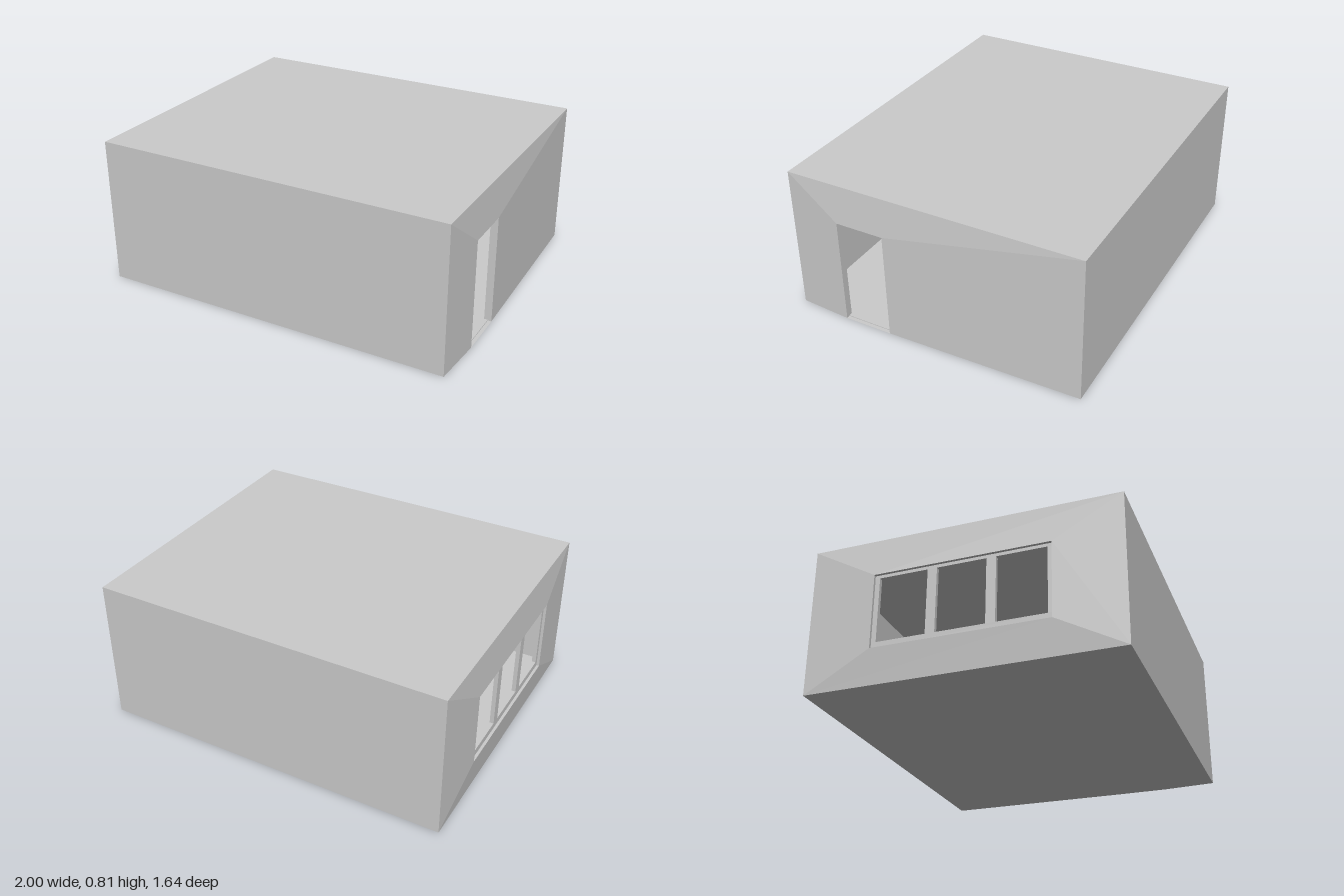
import * as THREE from 'three';

const W = 0.98, D = 0.82, H = 0.807;   // half width, half depth, height
const T = 0.03;                        // wall thickness
const BULGE = 1.0, INNER = 0.96;       // x of the opening rim and of the inner face

const mat = new THREE.MeshStandardMaterial({ color: 0xcccccc, flatShading: true });

function box(parent, name, x0, x1, y0, y1, z0, z1) {
  const mesh = new THREE.Mesh(new THREE.BoxGeometry(x1 - x0, y1 - y0, z1 - z0), mat);
  mesh.position.set((x0 + x1) / 2, (y0 + y1) / 2, (z0 + z1) / 2);
  mesh.name = name;
  parent.add(mesh);
  return mesh;
}

// Side wall lofted through four rectangles: outer edge, opening rim, inner rim, inner edge
function sideWall(name, side, hole) {
  const full = { z0: -D, z1: D, y0: 0, y1: H };
  const rings = [[full, W], [hole, BULGE], [hole, INNER], [full, INNER]].map(([r, x]) =>
    [[r.z1, r.y0], [r.z0, r.y0], [r.z0, r.y1], [r.z1, r.y1]].map(([z, y]) => [side * x, y, z]));
  const pos = [];
  for (let i = 0; i < 3; i++) {
    for (let k = 0; k < 4; k++) {
      const n = (k + 1) % 4;
      const quad = [rings[i][k], rings[i][n], rings[i + 1][n], rings[i + 1][k]];
      if (side < 0) quad.reverse();
      for (const c of [0, 1, 2, 0, 2, 3]) pos.push(...quad[c]);
    }
  }
  const geo = new THREE.BufferGeometry();
  geo.setAttribute('position', new THREE.Float32BufferAttribute(pos, 3));
  geo.computeVertexNormals();
  const mesh = new THREE.Mesh(geo, mat);
  mesh.name = name;
  return mesh;
}

export function createModel() {
  const room = new THREE.Group();
  room.name = 'room';

  // Shell
  box(room, 'floor', -W, W, 0, 0.004, -D, D);
  box(room, 'roof', -W, W, H - T, H, -D, D);
  box(room, 'frontWall', -W, W, 0, H, D - T, D);
  box(room, 'backWall', -W, W, 0, H, -D, -D + T);

  // Wall with the doorway, and wall with the window opening
  const win = { z0: -0.465, z1: 0.465, y0: 0.19, y1: 0.597 };
  room.add(sideWall('doorWall', 1, { z0: 0.26, z1: 0.53, y0: 0, y1: 0.597 }));
  room.add(sideWall('windowWall', -1, win));

  // Window: three open casements side by side
  const windowFrame = new THREE.Group();
  windowFrame.name = 'windowFrame';
  const x0 = -0.985, x1 = -0.963, edge = 0.025;
  const step = (win.z1 - win.z0) / 3;
  box(windowFrame, 'bottomRail', x0, x1, win.y0, 0.225, win.z0, win.z1);
  box(windowFrame, 'topRail', x0, x1, 0.58, win.y1, win.z0, win.z1);
  for (let i = 0; i < 3; i++) {
    const a = win.z0 + i * step, b = a + step;
    box(windowFrame, 'stile', x0, x1, 0.225, 0.58, a, a + edge);
    box(windowFrame, 'stile', x0, x1, 0.225, 0.58, b - edge, b);
  }
  room.add(windowFrame);

  return room;
}
